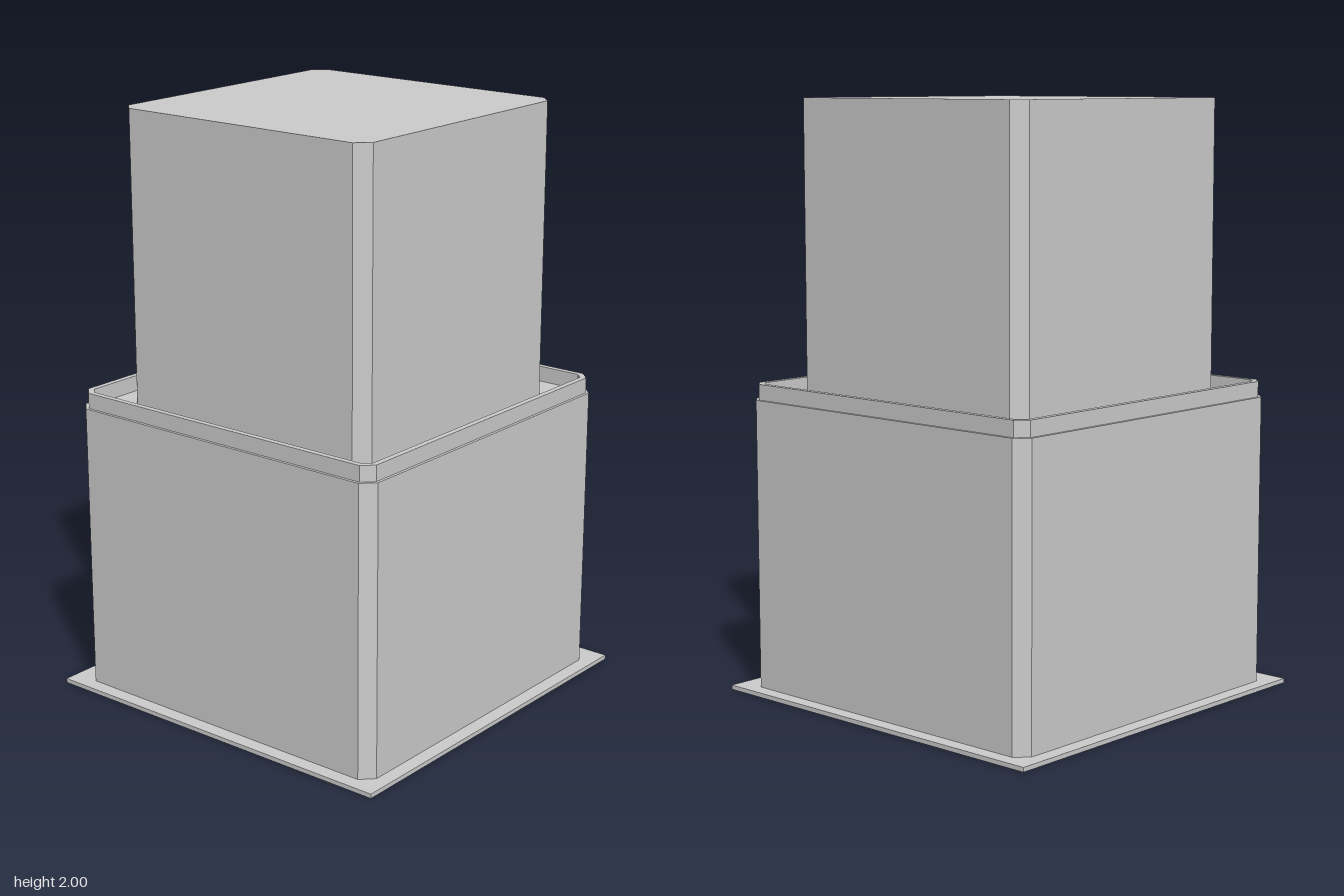
import * as THREE from 'three';

const material = new THREE.MeshStandardMaterial({ color: 0xcccccc, flatShading: true });

// Square outline with cut corners: half is the half width, flat is where the cut starts
function outline(half, flat, PathType = THREE.Shape) {
  const path = new PathType();
  path.setFromPoints([
    [half, -flat], [half, flat], [flat, half], [-flat, half],
    [-half, flat], [-half, -flat], [-flat, -half], [flat, -half],
  ].map(([x, y]) => new THREE.Vector2(x, y)));
  path.closePath();
  return path;
}

// Raise a ground outline between two heights
function prism(name, shape, bottom, top) {
  const geometry = new THREE.ExtrudeGeometry(shape, { depth: top - bottom, bevelEnabled: false });
  geometry.rotateX(-Math.PI / 2).translate(0, bottom, 0);
  const mesh = new THREE.Mesh(geometry, material);
  mesh.name = name;
  return mesh;
}

export function createModel() {
  const model = new THREE.Group();
  model.name = 'steppedBlock';

  // Thin square plate at the foot
  const plate = new THREE.Mesh(new THREE.BoxGeometry(1.34, 0.015, 1.34), material);
  plate.name = 'basePlate';
  plate.position.y = 0.0075;

  // Narrow raised lip around the top of the lower block
  const lip = outline(0.61, 0.574);
  lip.holes.push(outline(0.59, 0.566, THREE.Path));

  model.add(
    plate,
    prism('lowerBlock', outline(0.62, 0.578), 0.015, 1),
    prism('lip', lip, 1, 1.053),
    prism('upperBlock', outline(0.5, 0.457), 1, 2),
  );
  return model;
}
